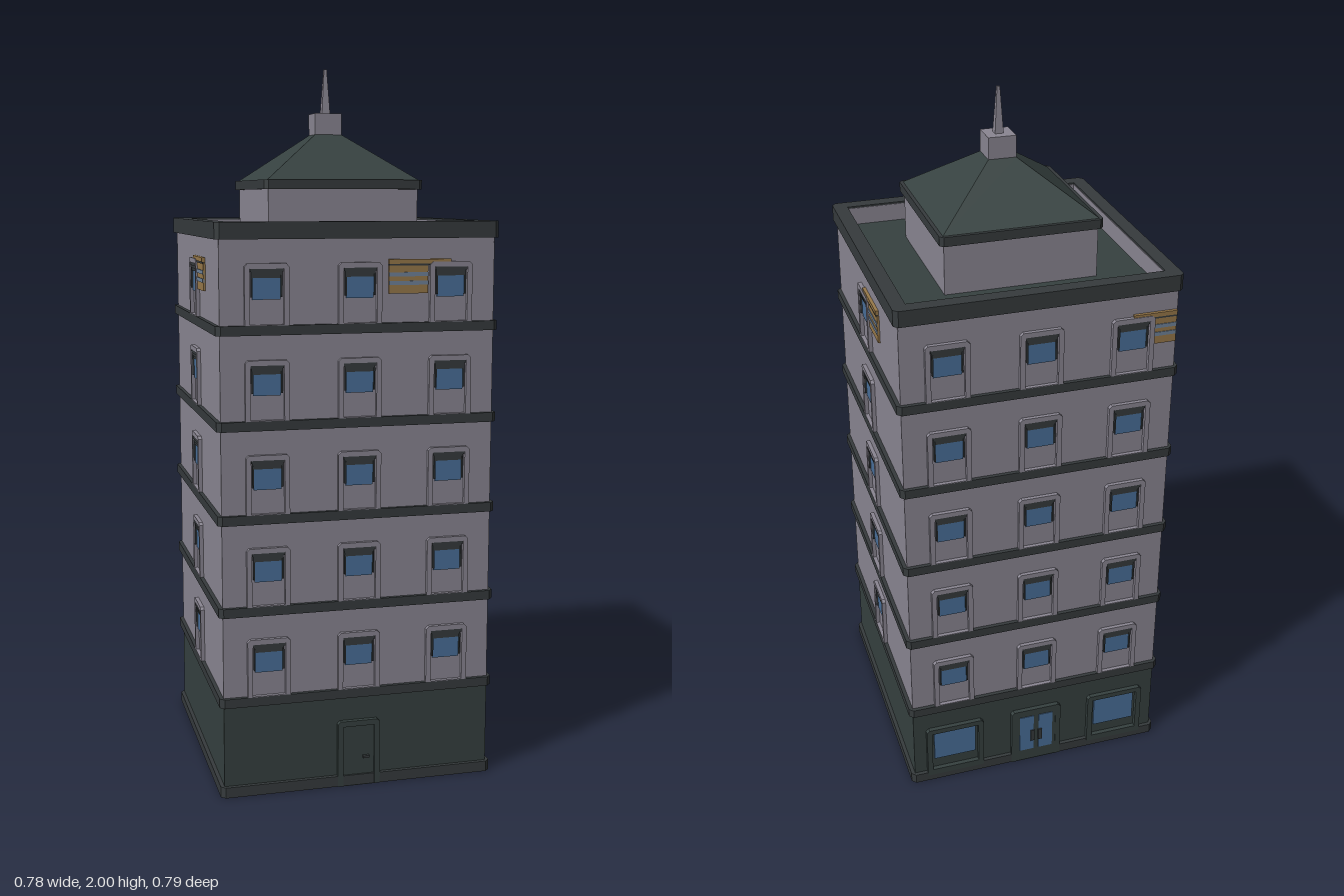
import * as THREE from 'three';

const mat = (name, color) => {
  const m = new THREE.MeshStandardMaterial({ color });
  m.name = name;
  return m;
};

export function createModel() {
  const wall = mat('wall grey', 0x8b8793);
  const dark = mat('dark green', 0x364140);
  const trim = mat('charcoal trim', 0x363b3d);
  const glass = mat('window blue', 0x4a709a);
  const tan = mat('sign tan', 0x98794a);
  const stripe = mat('sign stripe', 0x71849a);

  const model = new THREE.Group();
  model.name = 'tower';

  const add = (parent, name, geo, m) => {
    const mesh = new THREE.Mesh(geo, m);
    mesh.name = name;
    parent.add(mesh);
    return mesh;
  };
  // box given by its limits
  const box = (parent, name, m, x0, x1, y0, y1, z0, z1) => {
    const geo = new THREE.BoxGeometry(x1 - x0, y1 - y0, z1 - z0);
    geo.translate((x0 + x1) / 2, (y0 + y1) / 2, (z0 + z1) / 2);
    return add(parent, name, geo, m);
  };
  // square outline with cut corners
  const outline = (h, c, Kind = THREE.Shape) => new Kind([
    [h - c, -h], [h, -h + c], [h, h - c], [h - c, h],
    [-h + c, h], [-h, h - c], [-h, -h + c], [-h + c, -h],
  ].map(([x, y]) => new THREE.Vector2(x, y)));
  // horizontal slab, optionally with a square opening
  const slab = (name, m, h, c, y0, y1, inner = 0) => {
    const s = outline(h, c);
    if (inner) {
      s.holes.push(new THREE.Path([[-1, -1], [-1, 1], [1, 1], [1, -1]]
        .map(([x, y]) => new THREE.Vector2(x * inner, y * inner))));
    }
    const geo = new THREE.ExtrudeGeometry(s, { depth: y1 - y0, bevelEnabled: false });
    geo.rotateX(-Math.PI / 2).translate(0, y0, 0);
    return add(model, name, geo, m);
  };
  // square frustum
  const frustum = (name, m, h0, h1, y0, y1) => {
    const geo = new THREE.CylinderGeometry(h1 * Math.SQRT2, h0 * Math.SQRT2, y1 - y0, 4).toNonIndexed();
    geo.rotateY(Math.PI / 4).translate(0, (y0 + y1) / 2, 0);
    geo.computeVertexNormals();
    return add(model, name, geo, m);
  };
  // upright surround with cut top corners and an opening
  const surround = (parent, name, m, cx, w, y0, y1, t, sill, z0, z1) => {
    const c = 0.008;
    const s = new THREE.Shape([[-w, y0], [w, y0], [w, y1 - c], [w - c, y1], [-w + c, y1], [-w, y1 - c]]
      .map(([x, y]) => new THREE.Vector2(cx + x, y)));
    const i = w - t;
    s.holes.push(new THREE.Path([[-i, y0 + sill], [-i, y1 - t], [i, y1 - t], [i, y0 + sill]]
      .map(([x, y]) => new THREE.Vector2(cx + x, y))));
    const geo = new THREE.ExtrudeGeometry(s, { depth: z1 - z0, bevelEnabled: false });
    geo.translate(0, 0, z0);
    return add(parent, name, geo, m);
  };

  // main body and floor bands
  const B = 0.381, FLOOR = 0.255;
  box(model, 'groundFloor', dark, -B, B, 0, 0.27, -B, B);
  box(model, 'upperFloors', wall, -B, B, 0.27, 1.515, -B, B);
  slab('baseBand', trim, 0.392, 0.012, 0, 0.03);
  for (let i = 0; i < 5; i++) {
    slab('floorBand', trim, 0.392, 0.012, 0.258 + i * FLOOR, 0.284 + i * FLOOR);
  }

  // flat roof with parapet
  slab('roofFloor', dark, 0.36, 0.001, 1.512, 1.52);
  slab('parapet', wall, B, 0.001, 1.515, 1.535, 0.35);
  slab('parapetLining', wall, 0.354, 0.001, 1.515, 1.57, 0.35);
  slab('parapetCap', trim, 0.392, 0.012, 1.53, 1.575, 0.352);

  // roof house, pyramid roof and spire
  box(model, 'roofHouse', wall, -0.213, 0.213, 1.515, 1.665, -0.213, 0.213);
  slab('eaves', trim, 0.225, 0.01, 1.66, 1.686);
  frustum('pyramidRoof', dark, 0.215, 0.039, 1.686, 1.815);
  box(model, 'spireBlock', wall, -0.039, 0.039, 1.81, 1.875, -0.039, 0.039);
  frustum('spire', wall, 0.012, 0.004, 1.875, 2);

  // upper window: surround, glass, hood and dark side strips
  const addWindow = (side, u, y) => {
    const g = new THREE.Group();
    g.name = 'window';
    g.position.set(u, y, 0);
    side.add(g);
    surround(g, 'windowSurround', wall, 0, 0.06, 0, 0.163, 0.014, 0.002, B - 0.002, 0.392);
    box(g, 'windowGlass', glass, -0.038, 0.038, 0.068, 0.135, B, B + 0.004);
    for (const s of [-1, 1]) {
      box(g, 'windowEdge', trim, s * 0.04 - 0.002, s * 0.04 + 0.002, 0.075, 0.135, B, B + 0.009);
    }
    for (let k = 0; k < 3; k++) {
      const w = 0.045 - k * 0.003, top = 0.149 - k * 0.008;
      box(g, 'windowHood', trim, -w, w, top - 0.008, top, B, 0.391 - k * 0.002);
    }
  };

  // striped sign beside a top floor window
  const addSign = (side, u0, u1, s0, s1) => {
    const g = new THREE.Group();
    g.name = 'sign';
    side.add(g);
    box(g, 'signPanel', tan, u0, u1, 1.382, 1.46, B, B + 0.006);
    box(g, 'signTop', tan, s0, s1, 1.462, 1.474, B, B + 0.009);
    box(g, 'signShade', trim, s0, s1, 1.457, 1.462, B, B + 0.008);
    for (const y of [1.405, 1.428]) {
      box(g, 'signStripe', stripe, u0, u1, y, y + 0.011, B, B + 0.008);
    }
  };

  // four sides, each built facing forward and turned: front, left, back, right
  const signs = [
    [0.08, 0.19, 0.08, 0.255],
    [0.055, 0.165, 0, 0.16],
    [0.31, 0.378, 0.255, 0.378],
    [0.055, 0.165, 0, 0.16],
  ];
  const sides = signs.map((sign, k) => {
    const side = new THREE.Group();
    side.name = ['frontSide', 'leftSide', 'backSide', 'rightSide'][k];
    side.rotation.y = k * Math.PI / 2;
    model.add(side);
    for (let i = 0; i < 5; i++) {
      for (const u of k % 2 ? [0] : [-0.255, 0, 0.255]) addWindow(side, u, 0.284 + i * FLOOR);
    }
    addSign(side, ...sign);
    return side;
  });

  // front door
  const [front, , back] = sides;
  surround(front, 'doorSurround', dark, 0, 0.061, 0, 0.19, 0.016, 0, B - 0.002, 0.394);
  box(front, 'frontDoor', dark, -0.045, 0.045, 0, 0.174, B, 0.387);
  box(front, 'doorHandle', trim, 0.012, 0.03, 0.078, 0.085, 0.387, 0.396);

  // shop front on the back
  for (const u of [-0.255, 0.255]) {
    surround(back, 'shopSurround', dark, u, 0.088, 0.02, 0.195, 0.016, 0.02, B - 0.002, 0.394);
    box(back, 'shopGlass', glass, u - 0.064, u + 0.064, 0.075, 0.172, B, B + 0.005);
  }
  surround(back, 'entranceSurround', dark, 0, 0.078, 0, 0.195, 0.016, 0, B - 0.002, 0.394);
  box(back, 'entrancePanel', dark, -0.062, 0.062, 0, 0.179, B, 0.3925);
  for (const s of [-1, 1]) {
    const c = s * 0.03;
    box(back, 'entranceGlass', glass, c - 0.022, c + 0.022, 0.04, 0.17, 0.392, 0.3945);
    box(back, 'entranceHandle', trim, s * 0.012 - 0.006, s * 0.012 + 0.006, 0.075, 0.115, 0.392, 0.398);
  }
  return model;
}
